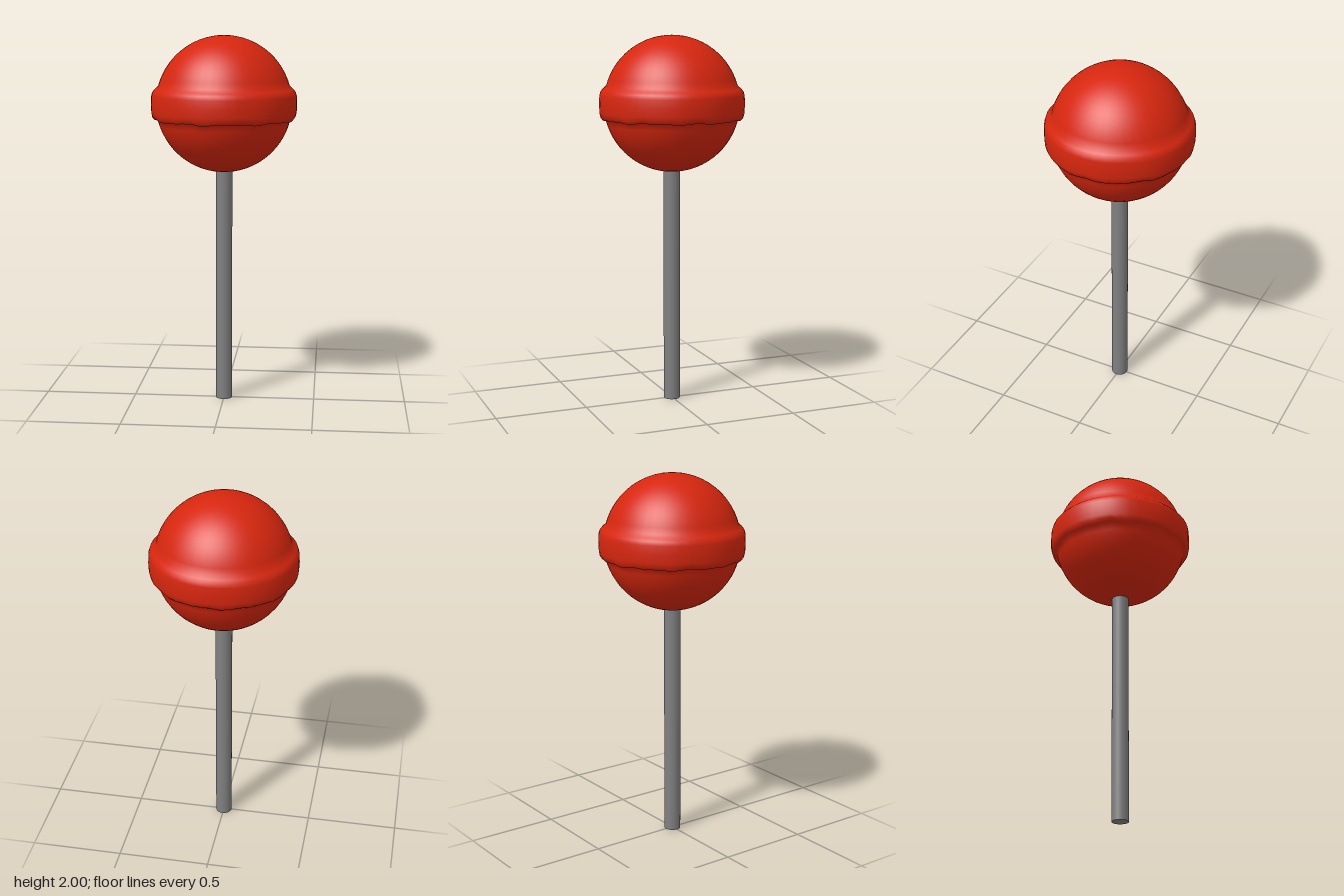
import * as THREE from 'three';
import { mergeVertices } from 'three/addons/utils/BufferGeometryUtils.js';

const CENTER_Y = 1.635, RADIUS = 0.365, SEGMENTS = 48;

// Points on the ball's outline between two latitudes, in radians
function arc(from, to, steps) {
  const points = [];
  for (let i = 0; i <= steps; i++) {
    const a = from + (to - from) * i / steps;
    const r = Math.abs(a) > 1.57 ? 0 : RADIUS * Math.cos(a);
    points.push(new THREE.Vector2(r, CENTER_Y + RADIUS * Math.sin(a)));
  }
  return points;
}

// Ball with a raised rounded band moulded around its middle
function candyGeometry() {
  const band = [
    [0.372, 1.553], [0.384, 1.568], [0.389, 1.59], [0.391, 1.635],
    [0.389, 1.68], [0.383, 1.7], [0.371, 1.715],
  ].map(([r, y]) => new THREE.Vector2(r, y));
  const profile = [
    ...arc(-Math.PI / 2, -0.225, 14), ...band, ...arc(0.27, Math.PI / 2, 14),
  ];
  const lathe = new THREE.LatheGeometry(profile, SEGMENTS);
  lathe.deleteAttribute('uv');
  lathe.deleteAttribute('normal');
  const geometry = mergeVertices(lathe, 1e-5);

  // Slight hand-made unevenness, strongest along the band's edges
  const pos = geometry.attributes.position;
  for (let i = 0; i < pos.count; i++) {
    const x = pos.getX(i), y = pos.getY(i), z = pos.getZ(i);
    const a = Math.atan2(x, z);
    const edge = Math.exp(-(((y - 1.56) / 0.03) ** 2));
    const middle = Math.exp(-(((y - CENTER_Y) / 0.12) ** 2));
    const s = 1 + middle * 0.005 * (Math.sin(5 * a + 1) + 0.5 * Math.sin(11 * a));
    const dy = edge * 0.003 * (Math.sin(9 * a) + Math.sin(16 * a + 2));
    pos.setXYZ(i, x * s, y + dy, z * s);
  }
  geometry.computeVertexNormals();
  return geometry;
}

export function createModel() {
  const model = new THREE.Group();
  model.name = 'lollipop';
  const candyRed = new THREE.MeshStandardMaterial({ color: 0xd6260e });
  candyRed.name = 'candy red';
  const stickGrey = new THREE.MeshStandardMaterial({ color: 0x808080 });
  stickGrey.name = 'stick grey';

  const candy = new THREE.Mesh(candyGeometry(), candyRed);
  candy.name = 'candy';

  // Stick runs a little way into the ball
  const stick = new THREE.Mesh(new THREE.CylinderGeometry(0.045, 0.045, 1.3, 24), stickGrey);
  stick.name = 'stick';
  stick.position.y = 0.65;

  model.add(candy, stick);
  return model;
}
